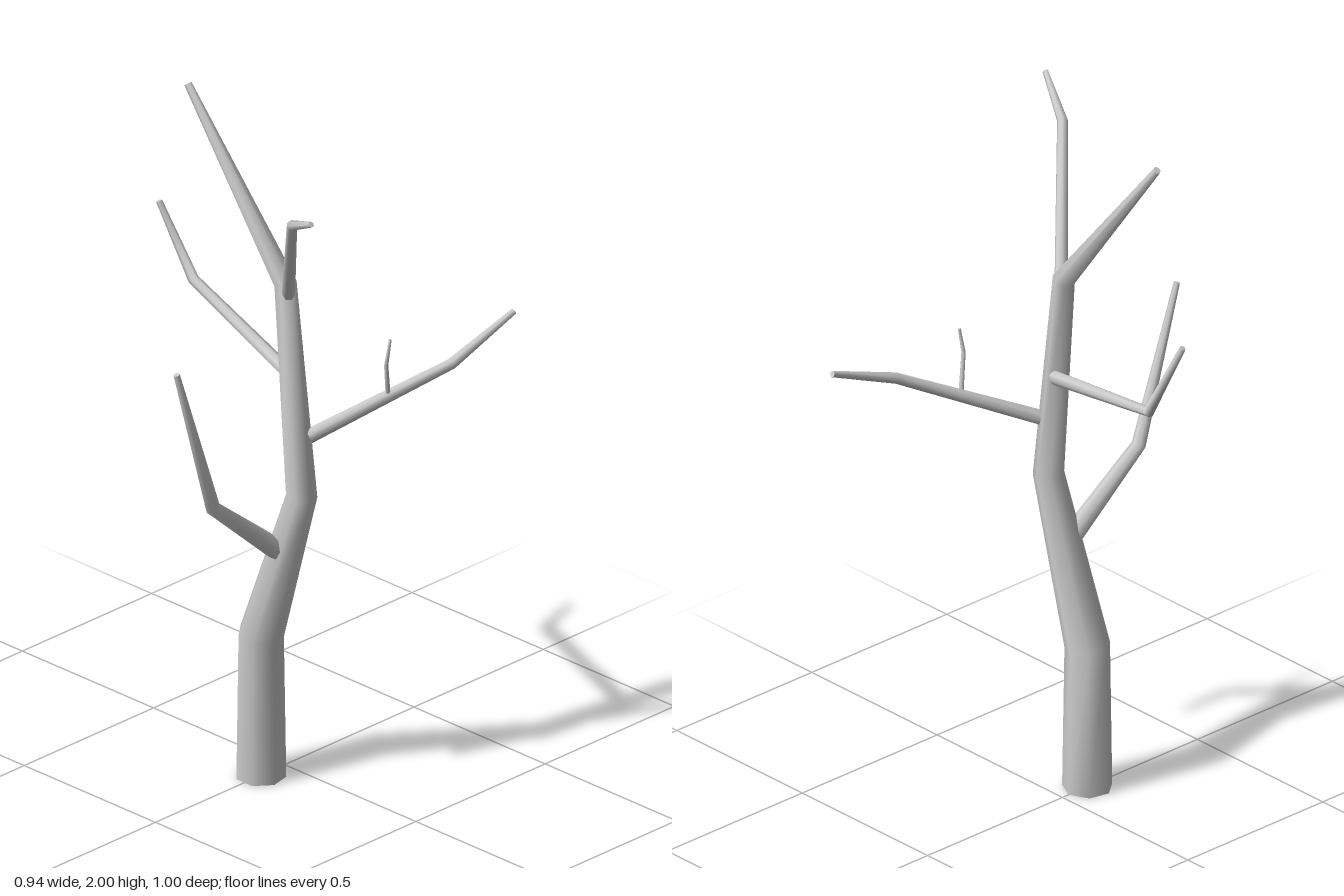
import * as THREE from 'three';

const SIDES = 7;
const UP = new THREE.Vector3(0, 1, 0);

// Tapered limb through stations [x, y, z, radius]; open at the root, capped at the tip.
function limbGeometry(stations) {
  const points = stations.map(([x, y, z]) => new THREE.Vector3(x, y, z));
  const last = points.length - 1;
  const direction = (i) => points[i + 1].clone().sub(points[i]).normalize();
  const positions = [], index = [];

  const addRing = (i) => {
    // Rings at a bend lie on the plane that halves the angle
    const tangent = direction(Math.min(i, last - 1));
    if (i > 0 && i < last) tangent.add(direction(i - 1)).normalize();
    const turn = new THREE.Quaternion().setFromUnitVectors(UP, tangent);
    for (let j = 0; j < SIDES; j++) {
      const a = Math.PI + (j / SIDES) * Math.PI * 2;
      const p = new THREE.Vector3(Math.sin(a), 0, Math.cos(a))
        .multiplyScalar(stations[i][3]).applyQuaternion(turn).add(points[i]);
      positions.push(p.x, p.y, p.z);
    }
  };

  // Sides
  for (let i = 0; i <= last; i++) addRing(i);
  for (let i = 0; i < last; i++) {
    for (let j = 0; j < SIDES; j++) {
      const a = i * SIDES + j, b = i * SIDES + (j + 1) % SIDES;
      index.push(a, b, b + SIDES, a, b + SIDES, a + SIDES);
    }
  }

  // Tip cap with its own vertices, so the rim stays sharp
  const start = positions.length / 3;
  addRing(last);
  for (let j = 1; j < SIDES - 1; j++) index.push(start, start + j, start + j + 1);

  const geometry = new THREE.BufferGeometry();
  geometry.setAttribute('position', new THREE.Float32BufferAttribute(positions, 3));
  geometry.setIndex(index);
  geometry.computeVertexNormals();
  return geometry;
}

const LIMBS = {
  // Trunk bends twice, then leans out into the top left fork
  trunk: [[0, 0, 0.093, 0.07], [0, 0.43, 0.093, 0.064], [0.155, 0.9, 0.093, 0.044],
    [0.094, 1.52, 0.093, 0.032], [-0.278, 1.995, 0.092, 0.011]],
  upperFork: [[0.112, 1.495, 0.1, 0.019], [0.323, 1.845, 0.3, 0.015], [0.462, 1.918, 0.366, 0.008]],
  sideBranch: [[0.1, 1.225, 0.065, 0.02], [-0.37, 1.332, -0.023, 0.016], [-0.465, 1.55, 0.014, 0.009]],
  frontBranch: [[0.092, 0.71, 0.105, 0.031], [0.077, 0.925, 0.355, 0.021], [0.073, 1.375, 0.492, 0.009]],
  backBranch: [[0.165, 1.075, 0.075, 0.021], [0.366, 1.243, -0.275, 0.016], [0.382, 1.328, -0.498, 0.009]],
  twig: [[0.28, 1.18, -0.115, 0.007], [0.3, 1.28, -0.088, 0.006], [0.304, 1.355, -0.1, 0.004]],
};

export function createModel() {
  const tree = new THREE.Group();
  tree.name = 'bareTree';
  const bark = new THREE.MeshStandardMaterial({ color: 0xcccccc, side: THREE.DoubleSide });
  for (const [name, stations] of Object.entries(LIMBS)) {
    const limb = new THREE.Mesh(limbGeometry(stations), bark);
    limb.name = name;
    tree.add(limb);
  }
  return tree;
}
